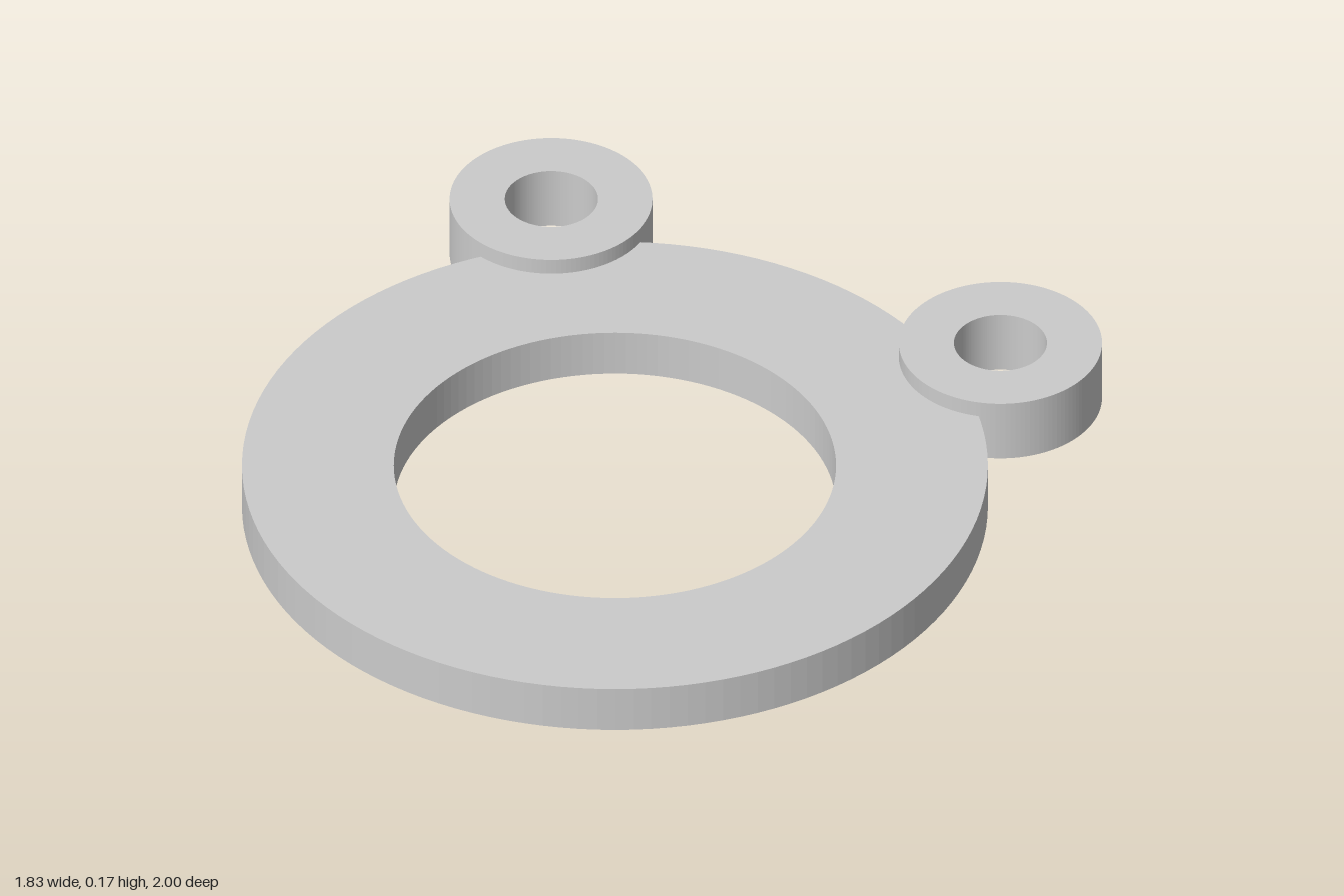
import * as THREE from 'three';

const material = new THREE.MeshStandardMaterial({ color: 0xcccccc, flatShading: true });

// Flat annulus standing on y = 0
function makeRing(name, outer, inner, height, x, z) {
  const shape = new THREE.Shape().absarc(0, 0, outer, 0, Math.PI * 2, false);
  shape.holes.push(new THREE.Path().absarc(0, 0, inner, 0, Math.PI * 2, true));
  const geometry = new THREE.ExtrudeGeometry(shape, { depth: height, bevelEnabled: false, curveSegments: 64 });
  geometry.rotateX(-Math.PI / 2);
  const mesh = new THREE.Mesh(geometry, material);
  mesh.name = name;
  mesh.position.set(x, 0, z);
  return mesh;
}

export function createModel() {
  const group = new THREE.Group();
  group.name = 'ringWithMountingLugs';

  // Large flat ring
  group.add(makeRing('mainRing', 0.914, 0.542, 0.125, 0, 0.086));

  // Two taller mounting lugs at the back
  for (const [name, side] of [['leftLug', 1], ['rightLug', -1]]) {
    group.add(makeRing(name, 0.249, 0.114, 0.167, side * 0.624, -0.751));
  }
  return group;
}
